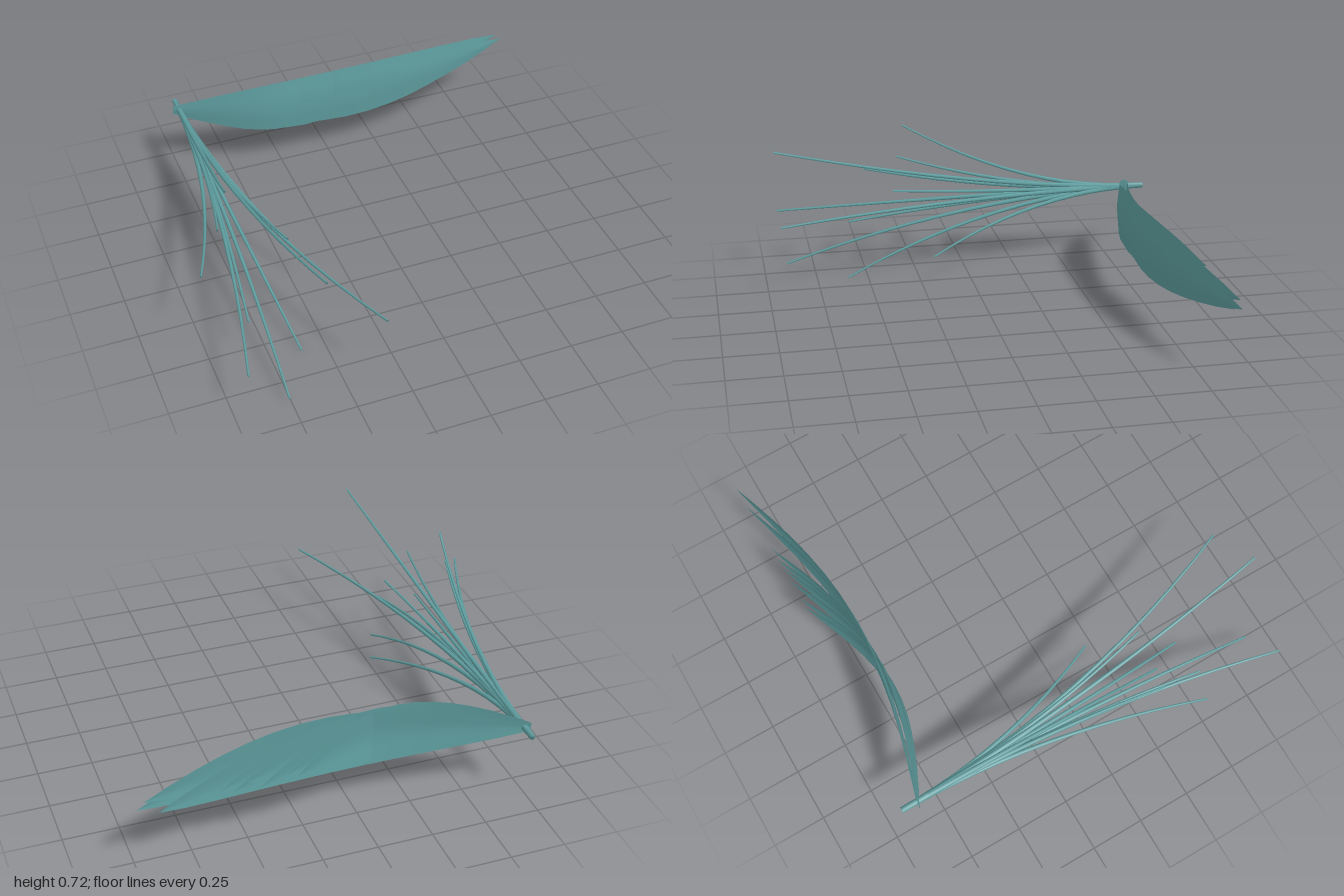
import * as THREE from 'three';

const ROOT = new THREE.Vector3(-0.725, 0.357, -0.94);

// Tapered stem that leaves the root along +z and arcs out to its tip
function stemGeometry([x, y, z, bend = 2]) {
  const rings = 12, sides = 6, pos = [], idx = [];
  for (let i = 0; i <= rings; i++) {
    const t = i / rings, k = Math.pow(t, bend), r = 0.014 - 0.009 * t;
    const cx = ROOT.x + (x - ROOT.x) * t * t;
    const cy = ROOT.y + (y - ROOT.y) * k;
    const cz = ROOT.z + (z - ROOT.z) * t;
    for (let j = 0; j < sides; j++) {
      const a = (j / sides) * Math.PI * 2;
      pos.push(cx + r * Math.cos(a), cy + r * Math.sin(a), cz);
      if (i < rings) {
        const p = i * sides + j, q = i * sides + (j + 1) % sides;
        idx.push(p, q, p + sides, q, q + sides, p + sides);
      }
    }
  }
  // Close both ends
  const last = rings * sides;
  for (let j = 1; j < sides - 1; j++) {
    idx.push(0, j + 1, j, last, last + j, last + j + 1);
  }
  return build(pos, idx);
}

// Long pointed blade, bowed towards +z and gently folded on its midrib
function leafGeometry([tipX, tipY, baseX]) {
  const rows = 14, cols = 4, pos = [], idx = [];
  for (let i = 0; i <= rows; i++) {
    const s = i / rows, arch = Math.sin(Math.PI * s);
    const half = 0.128 * Math.pow(Math.max(arch, 0), 0.88) + 0.02 * Math.pow(1 - s, 4);
    for (let j = 0; j <= cols; j++) {
      const v = (j / cols) * 2 - 1;
      pos.push(
        baseX + (tipX - baseX) * s,
        ROOT.y + (tipY - ROOT.y) * s + half * v,
        -0.865 + 0.176 * arch - 0.1 * half * Math.abs(v)
      );
      if (i < rows && j < cols) {
        const p = i * (cols + 1) + j, q = p + cols + 1;
        idx.push(p, q, p + 1, q, q + 1, p + 1);
      }
    }
  }
  return build(pos, idx);
}

function build(pos, idx) {
  const g = new THREE.BufferGeometry();
  g.setAttribute('position', new THREE.Float32BufferAttribute(pos, 3));
  g.setIndex(idx);
  g.computeVertexNormals();
  return g;
}

export function createModel() {
  const model = new THREE.Group();
  model.name = 'plant';
  const teal = new THREE.MeshStandardMaterial({ color: 0x5f9ea0, side: THREE.DoubleSide });
  teal.name = 'dusty teal';

  // Stem tips: x, y, z and optional bend
  const stems = new THREE.Group();
  stems.name = 'stems';
  [
    [-0.82, 0.715, 0.285], [-0.6, 0.675, 0.94, 1.65], [-0.87, 0.54, 0.31],
    [-0.995, 0.447, 0.465], [-0.58, 0.452, 0.37], [-0.34, 0.38, 0.935],
    [-0.94, 0.267, 0.92], [-0.83, 0.222, 0.565], [-0.763, 0.044, 0.89],
    [-0.61, 0.006, 0.597], [-0.44, 0.148, 0.19]
  ].forEach((tip) => {
    const stem = new THREE.Mesh(stemGeometry(tip), teal);
    stem.name = 'stem';
    stems.add(stem);
  });

  // Leaves: tip x, tip y, base x
  const leaves = new THREE.Group();
  leaves.name = 'leaves';
  [
    [1, 0.36, -0.74], [0.97, 0.391, -0.73], [0.91, 0.325, -0.74],
    [0.65, 0.368, -0.75], [0.6, 0.345, -0.73], [0.53, 0.38, -0.74],
    [0.48, 0.34, -0.75], [0.36, 0.375, -0.755], [0.32, 0.355, -0.74]
  ].forEach((spec) => {
    const leaf = new THREE.Mesh(leafGeometry(spec), teal);
    leaf.name = 'leaf';
    leaves.add(leaf);
  });

  model.add(stems, leaves);
  return model;
}
